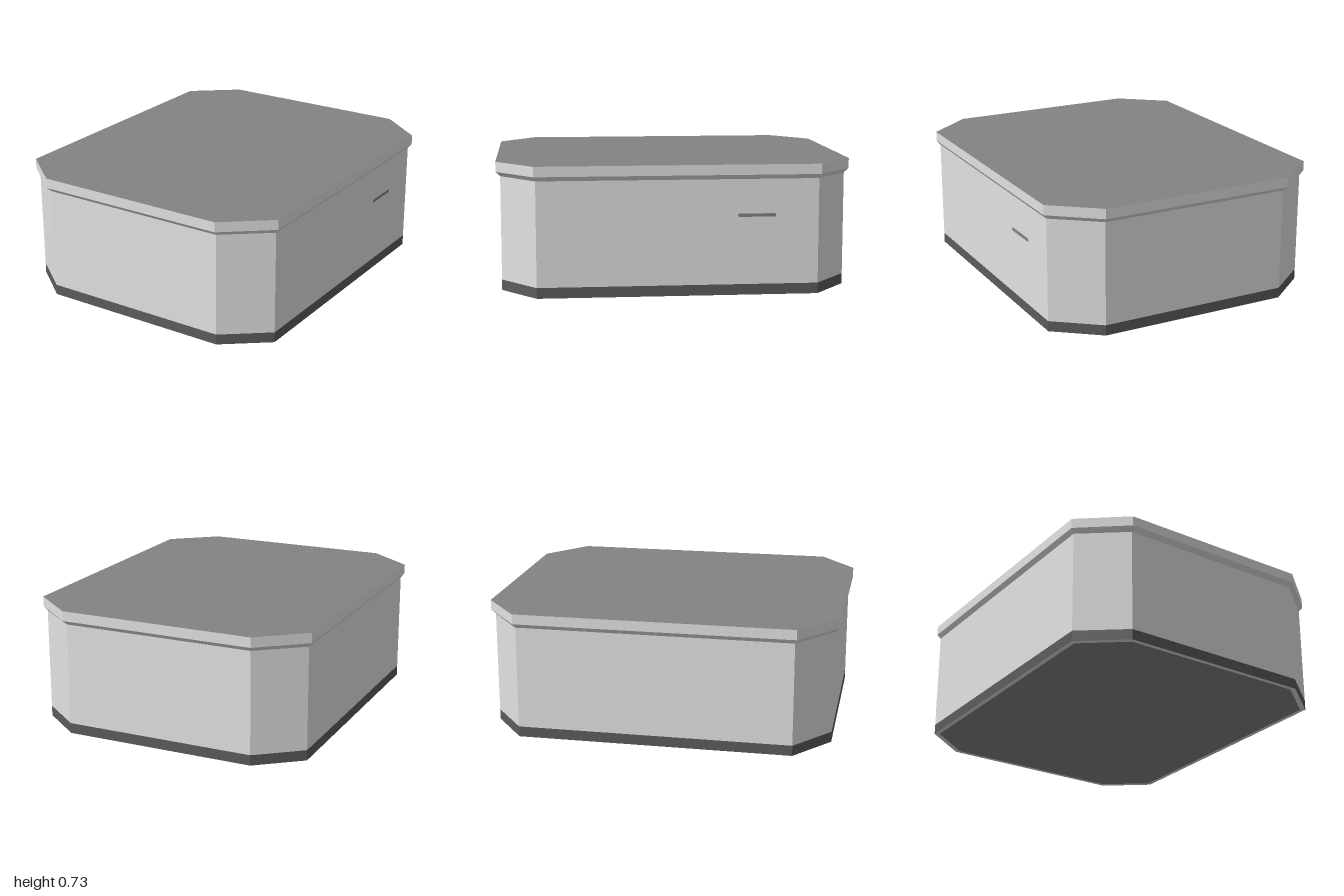
import * as THREE from 'three';

const flat = (name, color) => {
  const m = new THREE.MeshStandardMaterial({ color });
  m.name = name;
  return m;
};

// Corners of a rectangle with cut corners, counter-clockwise seen from above
function ring([y, hx, hz, cx, cz]) {
  return [[hx, cz], [hx, -cz], [cx, -hz], [-cx, -hz], [-hx, -cz], [-hx, cz], [-cx, hz], [cx, hz]]
    .map(([x, z]) => [x, y, z]);
}

// Flat-faced bands joining successive rings, bottom to top
function bands(...sections) {
  const pos = [];
  const rings = sections.map(ring);
  for (let k = 0; k + 1 < rings.length; k++) {
    const a = rings[k], b = rings[k + 1];
    for (let i = 0; i < 8; i++) {
      const j = (i + 1) % 8;
      pos.push(...a[i], ...a[j], ...b[j], ...a[i], ...b[j], ...b[i]);
    }
  }
  const g = new THREE.BufferGeometry();
  g.setAttribute('position', new THREE.Float32BufferAttribute(pos, 3));
  g.computeVertexNormals();
  return g;
}

// Flat octagonal face, facing up or down
function cap([y, hx, hz, cx, cz], up) {
  const shape = new THREE.Shape(ring([y, hx, hz, cx, cz]).map(([x, , z]) => new THREE.Vector2(x, -z)));
  return new THREE.ShapeGeometry(shape).rotateX(up ? -Math.PI / 2 : Math.PI / 2).translate(0, y, 0);
}

export function createModel() {
  const light = flat('light grey', 0xe2e2e2);
  const lidGrey = flat('lid grey', 0x848484);
  const dark = flat('base grey', 0x5c5c5c);
  const group = new THREE.Group();
  const add = (name, geometry, material) => {
    const mesh = new THREE.Mesh(geometry, material);
    mesh.name = name;
    group.add(mesh);
    return mesh;
  };

  // Section: height, half width, half depth, then where the corner cuts start
  const body = [0.81, 0.975, 0.56, 0.78];
  const lip = [0.83, 1.0, 0.57, 0.79];

  add('baseBand', bands([0, ...body], [0.06, ...body]), dark);
  add('bodyWalls', bands([0.06, ...body], [0.648, ...body]), light);
  add('lidRim', bands([0.648, ...body], [0.673, ...lip], [0.73, ...lip]), light);
  add('lidTop', cap([0.73, ...lip], true), lidGrey);

  // Underside: a light border around a darker panel
  const panel = [0.785, 0.95, 0.545, 0.762];
  add('undersideBorder', bands([0, ...panel], [0, ...body]), light);
  add('undersidePanel', cap([0, ...panel], false), lidGrey);

  // Round-ended slot on the left wall, towards the back
  const slot = new THREE.Shape();
  slot.absarc(0.097, 0, 0.009, -Math.PI / 2, Math.PI / 2);
  slot.absarc(-0.097, 0, 0.009, Math.PI / 2, Math.PI * 1.5);
  const slotMesh = add('wallSlot', new THREE.ExtrudeGeometry(slot, {
    depth: 0.003, bevelEnabled: false, curveSegments: 6,
  }), lidGrey);
  slotMesh.rotation.y = Math.PI / 2;
  slotMesh.position.set(0.81, 0.447, -0.435);

  return group;
}
